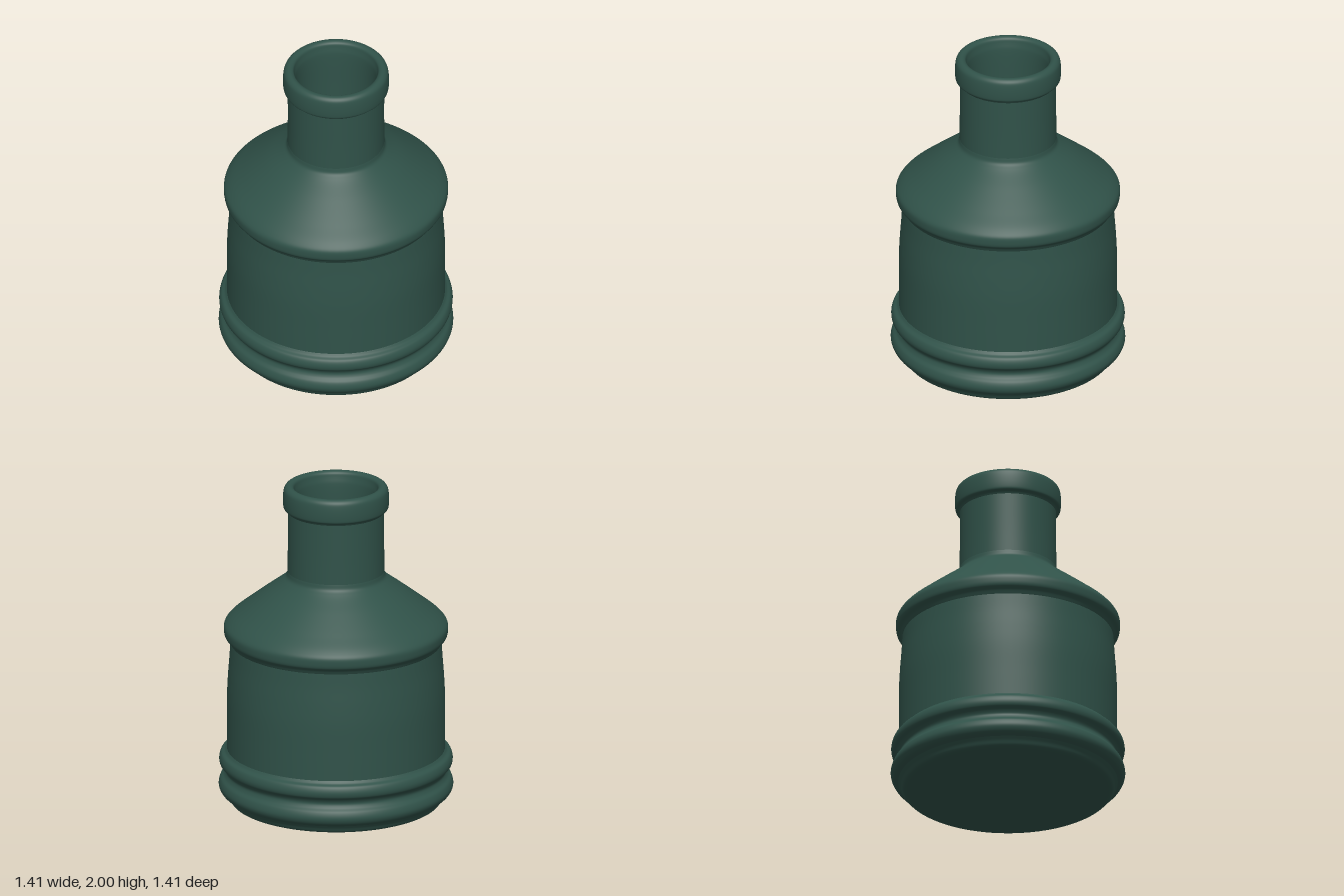
import * as THREE from 'three';

const SEGMENTS = 96;

// Smooth curve through [radius, height] points, sampled for a lathe
function smooth(points, samples) {
  const curve = new THREE.CatmullRomCurve3(
    points.map(([r, y]) => new THREE.Vector3(r, y, 0)), false, 'centripetal');
  return curve.getPoints(samples).map((p) => new THREE.Vector2(Math.max(p.x, 0), p.y));
}

export function createModel() {
  const bottle = new THREE.Group();
  bottle.name = 'bottle';
  const glass = new THREE.MeshStandardMaterial({ color: 0x305249 });
  glass.name = 'darkGreenGlass';

  function addRing(name, points, samples = 32) {
    const mesh = new THREE.Mesh(new THREE.LatheGeometry(smooth(points, samples), SEGMENTS), glass);
    mesh.name = name;
    bottle.add(mesh);
  }

  // Slightly dished underside
  addRing('underside', [[0, 0.03], [0.3, 0.027], [0.5, 0.018], [0.58, 0.004], [0.61, 0]], 20);
  // Foot and the two rounded bands above it
  addRing('foot', [[0.61, 0], [0.63, 0.01], [0.645, 0.035], [0.66, 0.055]], 12);
  addRing('baseBands', [
    [0.66, 0.055], [0.69, 0.075], [0.705, 0.11], [0.695, 0.15], [0.673, 0.175],
    [0.664, 0.2], [0.675, 0.225], [0.696, 0.245], [0.702, 0.275], [0.69, 0.31],
    [0.668, 0.325], [0.656, 0.34],
  ], 64);
  // Nearly straight wall, narrowing toward the shoulder
  addRing('bodyWall', [
    [0.656, 0.34], [0.656, 0.5], [0.655, 0.68], [0.649, 0.8], [0.64, 0.92], [0.635, 1.01],
  ]);
  // Flared edge and conical shoulder
  addRing('shoulder', [
    [0.635, 1.01], [0.648, 1.033], [0.668, 1.055], [0.674, 1.085], [0.671, 1.118],
    [0.645, 1.152], [0.56, 1.222], [0.43, 1.323], [0.325, 1.402], [0.299, 1.428], [0.291, 1.46],
  ], 72);
  addRing('neck', [[0.291, 1.46], [0.29, 1.6], [0.29, 1.75], [0.29, 1.835]], 8);
  // Rolled lip around the mouth
  addRing('lip', [
    [0.29, 1.835], [0.298, 1.847], [0.313, 1.857], [0.318, 1.88], [0.317, 1.95],
    [0.31, 1.98], [0.293, 1.996], [0.275, 1.998], [0.257, 1.987], [0.25, 1.96],
  ], 48);
  // Hollow inside, from the mouth down to the floor
  addRing('innerNeck', [[0.25, 1.96], [0.243, 1.92], [0.242, 1.7], [0.242, 1.43]], 16);
  addRing('innerBody', [
    [0.242, 1.43], [0.28, 1.37], [0.42, 1.26], [0.58, 1.13], [0.605, 1.08],
    [0.6, 0.9], [0.61, 0.5], [0.61, 0.15], [0.58, 0.09], [0.52, 0.08],
  ], 48);
  addRing('innerFloor', [[0.52, 0.08], [0.25, 0.08], [0, 0.08]], 4);

  return bottle;
}
